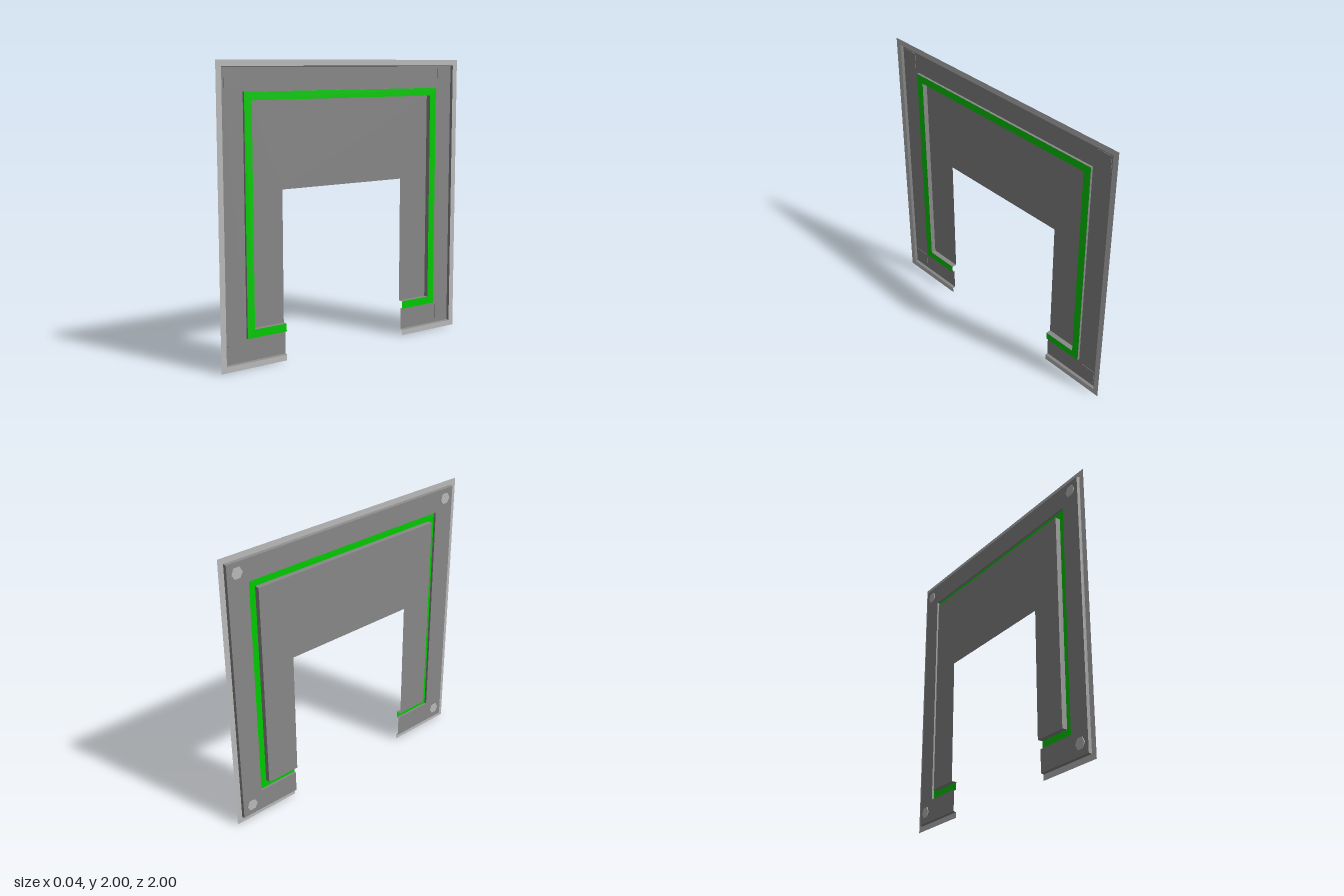
import * as THREE from 'three';

const RIM_X = 0.019, SHEET_X = 0, TRAY_X = -0.019;
const GAP = 0.5, GAP_TOP = 1.155;

// Open outline around the doorway, inset from the 2 x 2 border, as [z, y]
function outline(a) {
  const s = 1 - a;
  return [[GAP, a], [s, a], [s, 2 - a], [-s, 2 - a], [-s, a], [-GAP, a]];
}

// Pressed sheet strip between two inset outlines at given depths
function band(a0, x0, a1, x1) {
  const outer = outline(a0), inner = outline(a1), pos = [];
  const put = (x, [z, y]) => pos.push(x, y, z);
  for (let i = 0; i < outer.length - 1; i++) {
    put(x0, outer[i]); put(x1, inner[i]); put(x0, outer[i + 1]);
    put(x1, inner[i]); put(x1, inner[i + 1]); put(x0, outer[i + 1]);
  }
  const g = new THREE.BufferGeometry();
  g.setAttribute('position', new THREE.Float32BufferAttribute(pos, 3));
  g.computeVertexNormals();
  return g;
}

export function createModel() {
  const material = (name, color) => {
    const m = new THREE.MeshStandardMaterial({ color, side: THREE.DoubleSide });
    m.name = name;
    return m;
  };
  const grey = material('sheet grey', 0x888888);
  const light = material('light grey', 0xbbbbbb);
  const green = material('signal green', 0x00cc00);

  const group = new THREE.Group();
  group.name = 'doorPanel';
  const add = (name, geometry, mat) => {
    const mesh = new THREE.Mesh(geometry, mat);
    mesh.name = name;
    group.add(mesh);
    return mesh;
  };

  // Nested frames, from the border inwards
  add('outerRim', band(0, RIM_X, 0.04, RIM_X), light);
  add('rimStep', band(0.04, RIM_X, 0.045, SHEET_X), grey);
  add('sheet', band(0.045, SHEET_X, 0.2, SHEET_X), grey);
  add('stripOuterWall', band(0.2, SHEET_X, 0.2, RIM_X - 0.002), grey);
  add('greenStrip', band(0.2, RIM_X - 0.002, 0.255, RIM_X - 0.002), green);
  add('trayWall', band(0.255, RIM_X - 0.002, 0.255, TRAY_X), grey);

  // Recessed centre with the doorway cut out
  const points = [...outline(0.255), [-GAP, GAP_TOP], [GAP, GAP_TOP]];
  const tray = new THREE.ShapeGeometry(
    new THREE.Shape(points.map(([z, y]) => new THREE.Vector2(z, y))));
  tray.rotateY(Math.PI / 2);
  tray.translate(TRAY_X, 0, 0);
  add('centreTray', tray, grey);

  // Corner fixings: square pad on one side, hexagonal bolt head on the other
  const pad = new THREE.BoxGeometry(0.003, 0.108, 0.108);
  const bolt = new THREE.CylinderGeometry(0.042, 0.042, 0.005, 6).rotateZ(Math.PI / 2);
  for (const z of [-0.883, 0.883]) {
    for (const y of [0.122, 1.883]) {
      add('cornerPad', pad, grey).position.set(SHEET_X + 0.0015, y, z);
      add('cornerBolt', bolt, light).position.set(SHEET_X - 0.0025, y, z);
    }
  }
  return group;
}
